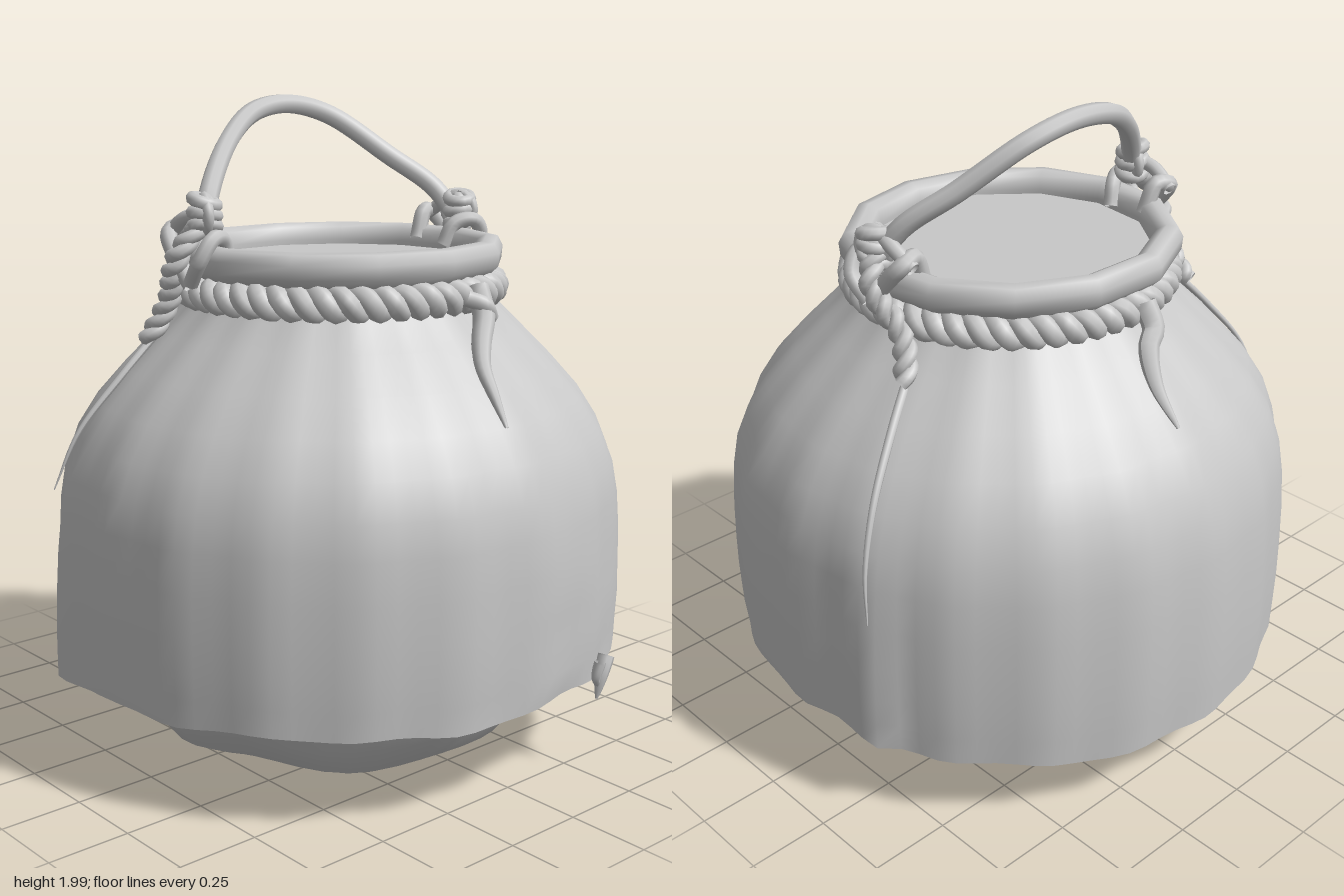
import * as THREE from 'three';

const clay = new THREE.MeshStandardMaterial({ color: 0xc8c8c8, side: THREE.DoubleSide });
clay.name = 'pale clay';

const V = (x, y, z) => new THREE.Vector3(x, y, z);
const bump = (t, centre, width) => Math.exp(-(((t - centre) / width) ** 2));

function add(group, name, geometry) {
  const mesh = new THREE.Mesh(geometry, clay);
  mesh.name = name;
  group.add(mesh);
  return mesh;
}

// Closed-round sheet: point(angle, row) gives each vertex, angle 0 faces +z
function sheet(segments, rows, point) {
  const pos = [], index = [], w = segments;
  for (let r = 0; r < rows; r++)
    for (let s = 0; s < w; s++) {
      const a = (s / w) * Math.PI * 2;
      pos.push(...point(a > Math.PI ? a - Math.PI * 2 : a, r));
    }
  for (let r = 0; r < rows - 1; r++)
    for (let s = 0; s < w; s++) {
      const a = r * w + s, b = r * w + ((s + 1) % w);
      index.push(a, a + w, b, b, a + w, b + w);
    }
  const g = new THREE.BufferGeometry();
  g.setAttribute('position', new THREE.Float32BufferAttribute(pos, 3));
  g.setIndex(index);
  g.computeVertexNormals();
  return g;
}

function tube(points, radius, segments = 32, closed = false) {
  return new THREE.TubeGeometry(new THREE.CatmullRomCurve3(points, closed), segments, radius, 8, closed);
}

// Tube narrowing to a point at its far end
function taper(points, radius, segments = 20) {
  const curve = new THREE.CatmullRomCurve3(points);
  const g = new THREE.TubeGeometry(curve, segments, radius, 8);
  const p = g.attributes.position;
  for (let i = 0; i < p.count; i++) {
    const u = Math.floor(i / 9) / segments;
    const c = curve.getPointAt(u);
    const v = V(0, 0, 0).fromBufferAttribute(p, i).sub(c).multiplyScalar(1 - 0.85 * u * u).add(c);
    p.setXYZ(i, v.x, v.y, v.z);
  }
  g.computeVertexNormals();
  return g;
}

// Two strands wound round each other along a path
function twistedRope(group, name, points, radius, turns, closed = false) {
  const path = new THREE.CatmullRomCurve3(points, closed);
  const n = Math.round(turns * 8);
  for (const phase of [0, Math.PI]) {
    const strand = [];
    for (let i = 0; i < (closed ? n : n + 1); i++) {
      const c = path.getPointAt(i / n);
      const out = V(c.x, 0, c.z).normalize();
      const side = V(0, 0, 0).crossVectors(path.getTangentAt(i / n), out).normalize();
      const a = (i / n) * turns * Math.PI * 2 + phase;
      strand.push(c.clone().addScaledVector(out, Math.cos(a) * radius * 0.6)
        .addScaledVector(side, Math.sin(a) * radius * 0.6));
    }
    add(group, name, tube(strand, radius * 0.75, n * 2, closed));
  }
}

// Wound knot: stacked rings with a core and a loop across them
function knot(name, x, y, z, side) {
  const g = new THREE.Group();
  g.name = name;
  add(g, 'knotCore', new THREE.SphereGeometry(0.05, 12, 8)).scale.set(0.9, 1.2, 0.9);
  for (let i = 0; i < 3; i++) {
    const ring = add(g, 'knotWrap', new THREE.TorusGeometry(0.036, 0.02, 8, 16));
    ring.position.y = -0.035 + i * 0.036;
    ring.rotation.set(Math.PI / 2 + 0.25 * (i - 1), 0.2 * side, 0);
  }
  const cross = add(g, 'knotLoop', new THREE.TorusGeometry(0.05, 0.017, 8, 16));
  cross.rotation.y = Math.PI / 2 + 0.4 * side;
  g.position.set(x, y, z);
  return g;
}

export function createModel() {
  const model = new THREE.Group();
  model.name = 'coveredPot';

  // Rounded pot below and inside the cover, slightly dented near the base
  const pot = [[0.001, 0.012], [0.3, 0.015], [0.5, 0.035], [0.575, 0.07], [0.66, 0.17], [0.735, 0.3],
    [0.8, 0.45], [0.84, 0.62], [0.84, 0.8], [0.79, 1.0], [0.63, 1.2], [0.47, 1.36], [0.455, 1.48]];
  const potGeometry = sheet(48, pot.length, (a, r) => {
    const [radius, y] = pot[pot.length - 1 - r];
    const dent = y < 0.35 && y > 0.02 ? 0.012 * Math.sin(a * 7 + y * 9) : 0;
    const lift = y < 0.2 && radius > 0.4 ? 0.012 * Math.sin(a * 5 + 1) : 0;
    return [Math.sin(a) * (radius + dent), y + lift, Math.cos(a) * (radius + dent) * 0.97];
  });
  add(model, 'potBody', potGeometry);

  // Draped cover with side seams, shallow folds and an uneven hem
  const cover = [[0.47, 1.42], [0.5, 1.375], [0.575, 1.3], [0.675, 1.2], [0.765, 1.1], [0.83, 1.0],
    [0.87, 0.9], [0.888, 0.8], [0.897, 0.68], [0.9, 0.56], [0.9, 0.46], [0.897, 0.38], [0.893, 0.3]];
  const hem = (a) => 0.295 + 0.09 * Math.min(0, Math.cos(a)) + 0.045 * bump(a, 0.8, 0.2)
    - 0.02 * bump(a, -0.35, 0.15) + 0.006 * Math.sin(a * 11);
  const coverGeometry = sheet(96, cover.length, (a, r) => {
    const [radius, y0] = cover[r];
    const drape = THREE.MathUtils.clamp((1.0 - y0) / 0.7, 0, 1);
    const y = y0 + (hem(a) - 0.3) * drape;
    const facet = 0.006 * Math.cos(a * 20) * Math.min(1, radius / 0.8);
    const seam = 0.035 * drape * (bump(a, 1.96, 0.06) + bump(a, -1.96, 0.07));
    const folds = y0 < 0.7 ? 0.006 * Math.sin(a * 24) * bump(a, 1.7, 0.35)
      + 0.006 * Math.sin(y0 * 40 - a * 8) * bump(a, 0.2, 0.35) : 0;
    const R = radius + facet + seam + folds - 0.006;
    return [Math.sin(a) * R, y, Math.cos(a) * R * 0.965 + 0.002];
  });
  add(model, 'clothCover', coverGeometry);

  // Torn threads at the hem and ridges on the side seams
  add(model, 'hemThread', taper([V(0.34, 0.36, 0.825), V(0.315, 0.31, 0.83), V(0.295, 0.235, 0.83)], 0.025));
  add(model, 'hemThread', taper([V(0.3, 0.35, 0.835), V(0.29, 0.3, 0.83), V(0.31, 0.26, 0.83)], 0.018));
  add(model, 'seamRidge', taper([V(0.53, 1.31, -0.15), V(0.65, 1.19, -0.21), V(0.78, 1.02, -0.275),
    V(0.845, 0.85, -0.31), V(0.86, 0.7, -0.33)], 0.014));
  add(model, 'seamRidge', taper([V(-0.52, 1.31, -0.23), V(-0.65, 1.18, -0.25), V(-0.78, 1.02, -0.29),
    V(-0.845, 0.85, -0.33)], 0.012));

  // Faceted rim and the flat surface filling the mouth
  const rimProfile = [[0.44, 1.47], [0.49, 1.475], [0.518, 1.5], [0.522, 1.54], [0.505, 1.57],
    [0.47, 1.575], [0.44, 1.56], [0.43, 1.52], [0.44, 1.47]];
  const rim = sheet(13, rimProfile.length, (a, r) => {
    const [radius, y] = rimProfile[rimProfile.length - 1 - r];
    return [Math.sin(a) * radius, y, Math.cos(a) * radius * 0.97 - 0.005];
  });
  add(model, 'rim', rim);
  const fill = add(model, 'mouthSurface', new THREE.CircleGeometry(0.455, 32));
  fill.rotation.x = -Math.PI / 2;
  fill.position.y = 1.505;
  fill.scale.y = 0.97;

  // Rope collar tied below the rim
  const collar = [];
  for (let i = 0; i < 24; i++) {
    const a = (i / 24) * Math.PI * 2;
    collar.push(V(Math.sin(a) * 0.47, 1.43, Math.cos(a) * 0.46));
  }
  twistedRope(model, 'ropeCollar', collar, 0.042, 24, true);

  // Loose rope ends at front and back
  add(model, 'frontRopeEnd', taper([V(0.1, 1.46, 0.49), V(0.09, 1.38, 0.53), V(0.04, 1.31, 0.57),
    V(0.0, 1.25, 0.615), V(-0.02, 1.18, 0.68), V(-0.03, 1.1, 0.74)], 0.034));
  add(model, 'frontRopeEnd', tube([V(0.05, 1.43, 0.5), V(0.09, 1.41, 0.535), V(0.13, 1.37, 0.52)], 0.024, 12));
  add(model, 'backRopeEnd', taper([V(-0.06, 1.45, -0.49), V(-0.06, 1.38, -0.53), V(-0.02, 1.34, -0.55),
    V(0.01, 1.25, -0.61), V(0.01, 1.15, -0.7)], 0.034));

  // Arched handle leaning to the back
  add(model, 'handle', tube([V(-0.475, 1.62, -0.05), V(-0.44, 1.71, -0.08), V(-0.26, 1.87, -0.21),
    V(-0.1, 1.95, -0.285), V(0.05, 1.968, -0.3), V(0.2, 1.93, -0.275), V(0.36, 1.8, -0.165),
    V(0.46, 1.7, -0.06), V(0.5, 1.6, 0.01)], 0.031, 60));

  // Knots joining handle to rim, with ropes lashed over the rim to the collar
  model.add(knot('rightKnot', -0.473, 1.665, -0.055, -1));
  model.add(knot('leftKnot', 0.5, 1.63, 0.02, 1));
  for (const [s, z] of [[-1, -0.06], [1, 0.01]]) {
    const x = (d) => s * d;
    twistedRope(model, 'lashing', [V(x(0.49), 1.63, z), V(x(0.545), 1.56, z - 0.02),
      V(x(0.545), 1.49, z - 0.06), V(x(0.52), 1.42, z - 0.11), V(x(0.535), 1.34, z - 0.15),
      V(x(0.56), 1.29, z - 0.17)], 0.028, 4);
    add(model, 'lashing', tube([V(x(0.41), 1.52, z + 0.03), V(x(0.44), 1.59, z + 0.05),
      V(x(0.5), 1.6, z + 0.08), V(x(0.54), 1.54, z + 0.07), V(x(0.53), 1.47, z + 0.01)], 0.024, 24));
    add(model, 'lashing', tube([V(x(0.42), 1.53, z - 0.1), V(x(0.46), 1.62, z - 0.11),
      V(x(0.51), 1.61, z - 0.12), V(x(0.53), 1.54, z - 0.06), V(x(0.52), 1.46, z)], 0.026, 24));
    add(model, 'lashing', tube([V(x(0.48), 1.67, z + 0.03), V(x(0.5), 1.65, z - 0.06),
      V(x(0.49), 1.6, z - 0.14)], 0.022, 16));
  }
  return model;
}
